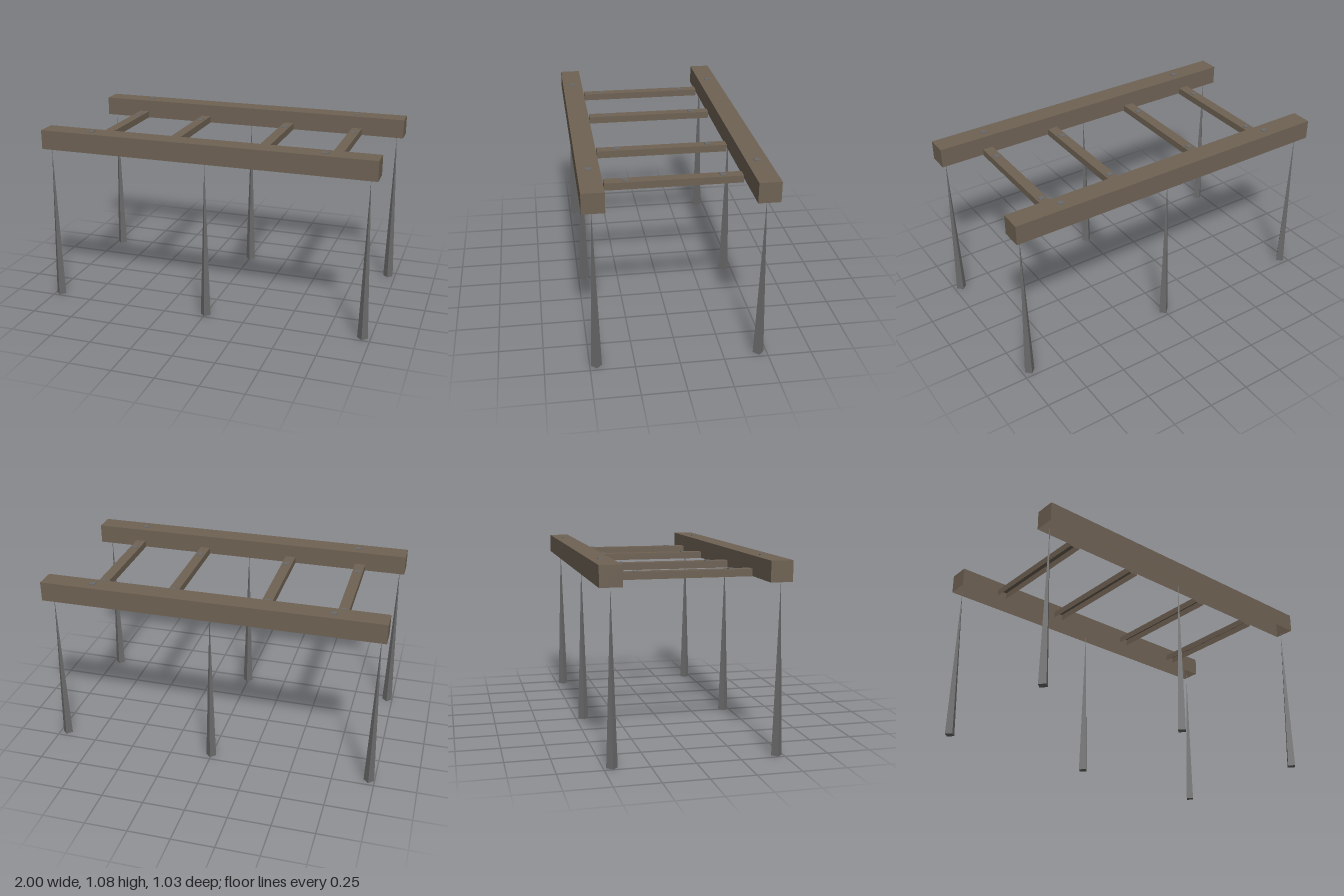
import * as THREE from 'three';

const wood = new THREE.MeshStandardMaterial({ color: 0x6f6254, side: THREE.DoubleSide });
wood.name = 'brown wood';
const metal = new THREE.MeshStandardMaterial({ color: 0x6a6a6a });
metal.name = 'grey metal';

// Box without its underside (box face order: +x, -x, +y, -y, +z, -z)
function openBox(w, h, d) {
  const geo = new THREE.BoxGeometry(w, h, d);
  const index = Array.from(geo.index.array);
  index.splice(18, 6);
  geo.setIndex(index);
  geo.clearGroups();
  return geo;
}

export function createModel() {
  const group = new THREE.Group();
  const add = (name, geo, mat, x, y, z) => {
    const mesh = new THREE.Mesh(geo, mat);
    mesh.name = name;
    mesh.position.set(x, y, z);
    group.add(mesh);
  };

  const beamGeo = openBox(2, 0.115, 0.123);
  const rungGeo = openBox(0.062, 0.041, 0.755);
  const boltGeo = new THREE.BoxGeometry(0.032, 0.004, 0.032);
  // Four-sided spike standing corner-on, flat facets
  const legGeo = new THREE.ConeGeometry(0.031, 0.955, 4).toNonIndexed();
  legGeo.computeVertexNormals();

  for (const side of [1, -1]) {
    // Long side beams with two bolt plates each
    add('sideBeam', beamGeo, wood, 0, 1.0145, side * 0.456);
    for (const x of [-0.7, 0.7]) add('beamBolt', boltGeo, metal, x, 1.074, side * 0.455);
    // Tapered legs
    for (const x of [-0.966, 0.003, 0.954])
      add('leg', legGeo, metal, x, 0.4775, side > 0 ? 0.463 : -0.453);
  }

  // Cross rungs with a bolt plate near each end
  for (const x of [-0.727, -0.287, 0.275, 0.714]) {
    add('rung', rungGeo, wood, x, 0.9825, 0);
    for (const z of [0.262, -0.268]) add('rungBolt', boltGeo, metal, x, 1.005, z);
  }
  return group;
}
